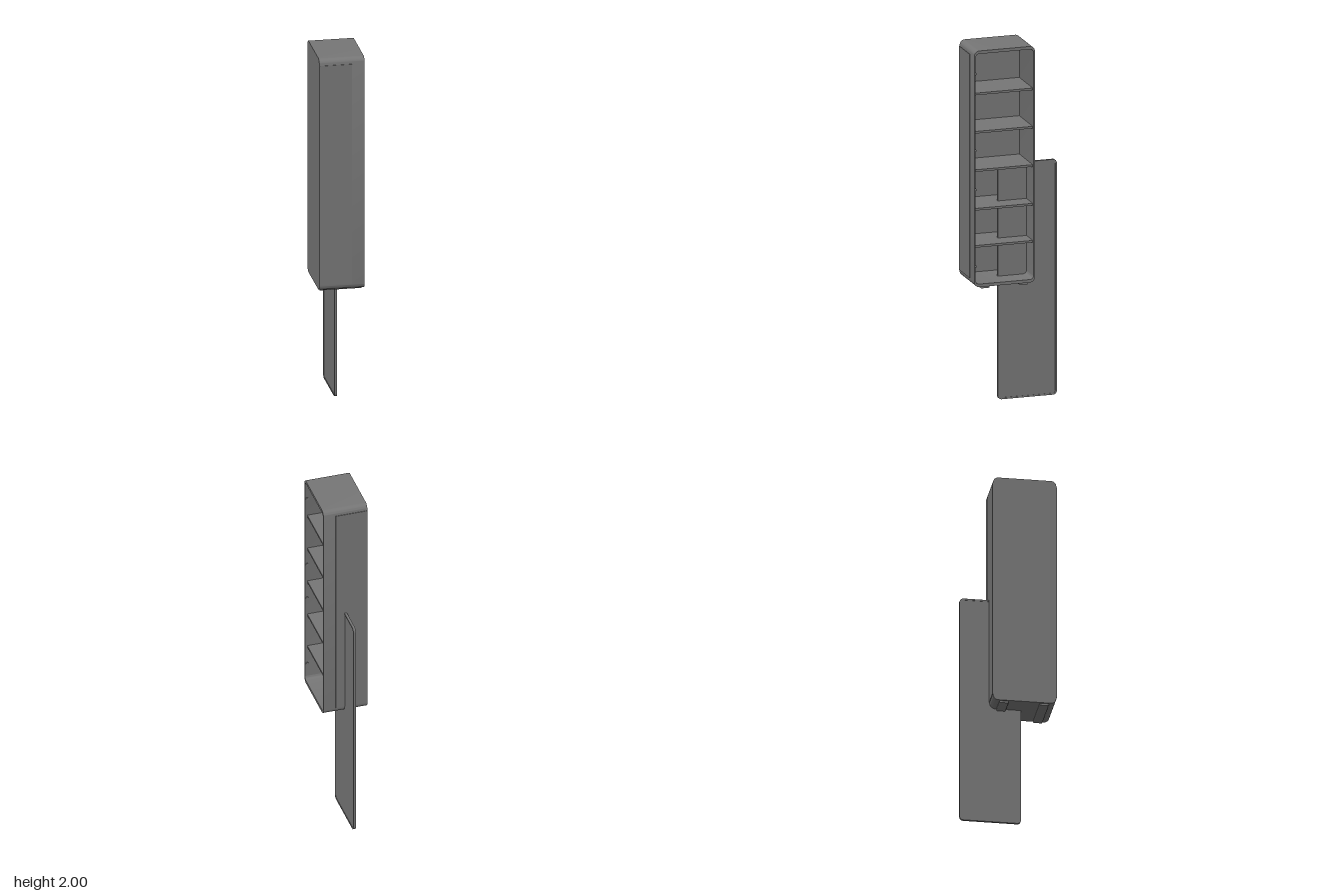
import * as THREE from 'three';
import { toCreasedNormals } from 'three/addons/utils/BufferGeometryUtils.js';

const grey = new THREE.MeshStandardMaterial({ color: 0x767676 });
grey.name = 'grey';

// Rounded rectangle in the z-y plane
function roundedRect(path, z0, z1, y0, y1, r) {
  path.moveTo(z0 + r, y0);
  path.lineTo(z1 - r, y0);
  path.absarc(z1 - r, y0 + r, r, -Math.PI / 2, 0);
  path.lineTo(z1, y1 - r);
  path.absarc(z1 - r, y1 - r, r, 0, Math.PI / 2);
  path.lineTo(z0 + r, y1);
  path.absarc(z0 + r, y1 - r, r, Math.PI / 2, Math.PI);
  path.lineTo(z0, y0 + r);
  path.absarc(z0 + r, y0 + r, r, Math.PI, Math.PI * 1.5);
  return path;
}

// Slab between x0 and x1 with a rounded outline and an optional opening
function slab(name, x0, x1, outer, inner) {
  const shape = roundedRect(new THREE.Shape(), ...outer);
  if (inner) shape.holes.push(roundedRect(new THREE.Path(), ...inner));
  let geo = new THREE.ExtrudeGeometry(shape, { depth: x1 - x0, bevelEnabled: false, curveSegments: 8 });
  geo.rotateY(-Math.PI / 2);
  geo.translate(x1, 0, 0);
  geo = toCreasedNormals(geo, 0.6);
  const mesh = new THREE.Mesh(geo, grey);
  mesh.name = name;
  return mesh;
}

function box(name, x0, x1, y0, y1, z0, z1) {
  const mesh = new THREE.Mesh(new THREE.BoxGeometry(x1 - x0, y1 - y0, z1 - z0), grey);
  mesh.position.set((x0 + x1) / 2, (y0 + y1) / 2, (z0 + z1) / 2);
  mesh.name = name;
  return mesh;
}

export function createModel() {
  const model = new THREE.Group();
  model.name = 'cabinetWithDoor';

  // Cabinet shell, open on the +x side
  const cabinet = new THREE.Group();
  cabinet.name = 'cabinet';
  const outline = [-0.092, 0.254, 0.675, 2, 0.03];
  cabinet.add(slab('shell', -0.117, 0.124, outline, [-0.084, 0.246, 0.692, 1.983, 0.02]));
  cabinet.add(slab('closedSide', -0.125, -0.117, outline));

  // Shelves
  for (const y of [0.9, 1.108, 1.325, 1.54, 1.755]) {
    cabinet.add(box('shelf', -0.118, 0.11, y - 0.006, y + 0.006, -0.085, 0.247));
  }

  // Shallow raised covers on the front and back, ending at a vertical step
  cabinet.add(box('frontCover', -0.125, 0.055, 0.71, 1.965, 0.253, 0.257));
  cabinet.add(box('backCover', -0.125, 0.055, 0.71, 1.965, -0.095, -0.091));

  // Catches on the inner front wall beside the opening
  for (const y of [0.79, 1.22, 1.44, 1.87]) {
    const catchPin = new THREE.Mesh(new THREE.CylinderGeometry(0.008, 0.008, 0.006, 16), grey);
    catchPin.rotation.x = Math.PI / 2;
    catchPin.position.set(0.112, y, 0.244);
    catchPin.name = 'catchPin';
    cabinet.add(catchPin);
  }

  // Foot strips under the cabinet
  for (const z of [0.19, -0.03]) {
    cabinet.add(slab('foot', -0.115, 0.115, [z - 0.025, z + 0.025, 0.664, 0.68, 0.005]));
  }
  model.add(cabinet);

  // Detached door panel with a slim raised rim
  const door = new THREE.Group();
  door.name = 'door';
  door.add(slab('doorPanel', -0.006, 0.004, [-0.25, 0.073, 0.007, 1.313, 0.018]));
  door.add(slab('doorRim', -0.008, 0.006, [-0.257, 0.08, 0, 1.32, 0.022], [-0.248, 0.071, 0.009, 1.311, 0.016]));
  model.add(door);

  return model;
}
